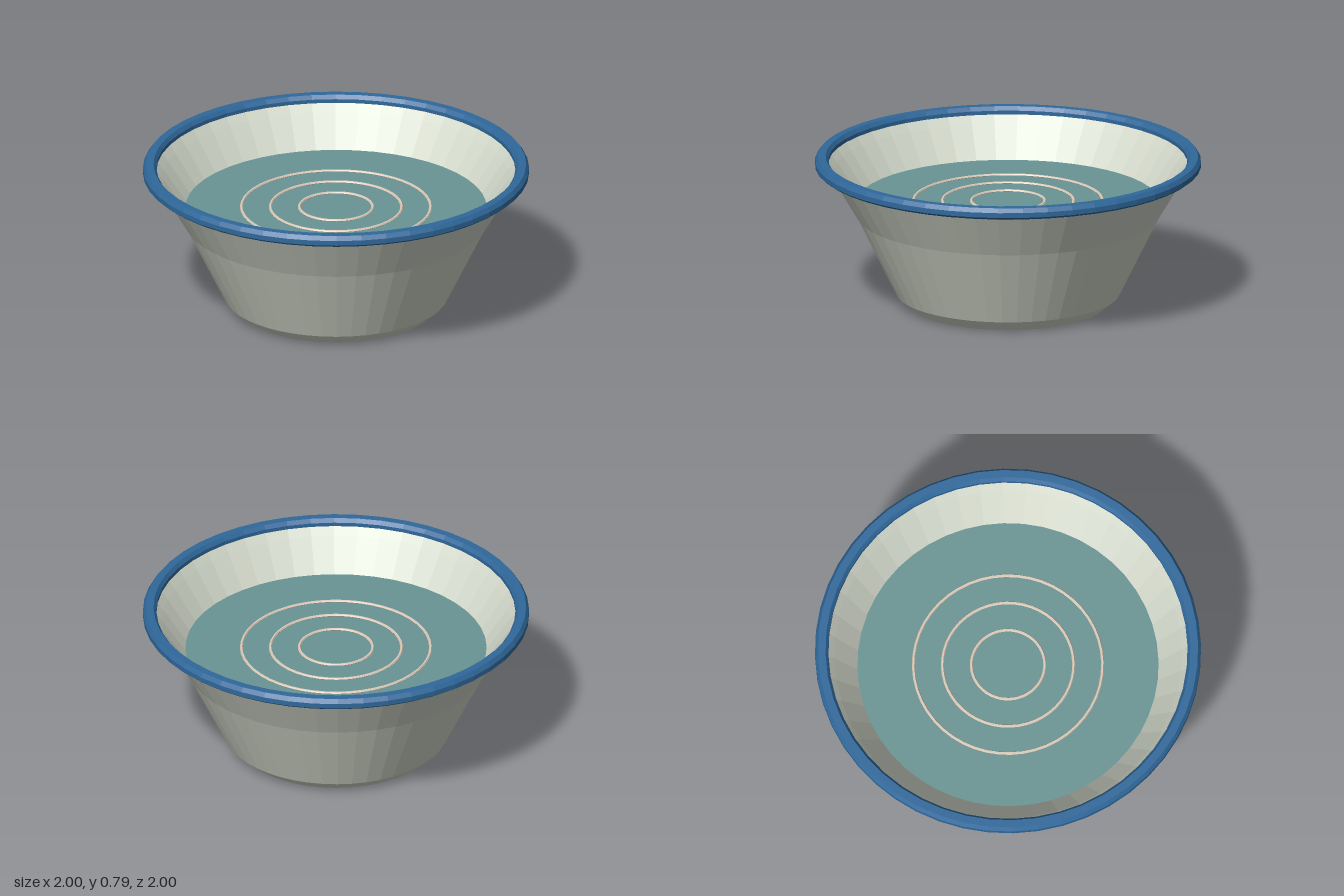
import * as THREE from 'three';

const SEGMENTS = 48;

function material(name, color) {
  const m = new THREE.MeshStandardMaterial({ color, flatShading: true, side: THREE.DoubleSide });
  m.name = name;
  return m;
}

// Turned part from [radius, height] points
function turned(name, points, mat) {
  const profile = points.map(([r, y]) => new THREE.Vector2(r, y));
  const mesh = new THREE.Mesh(new THREE.LatheGeometry(profile, SEGMENTS), mat);
  mesh.name = name;
  return mesh;
}

export function createModel() {
  const group = new THREE.Group();
  group.name = 'basin';

  const clay = material('pale clay', 0xd3d9cb);
  const blue = material('blue glaze', 0x2f689b);
  const water = material('teal water', 0x6a9495);
  const foam = material('beige ripple', 0xdccbb9);

  // Bowl wall, from the underside up the outside, over the lip and down the inside
  group.add(turned('bowl', [
    [0, 0.004], [0.055, 0.004], [0.055, 0], [0.51, 0], [0.58, 0.06], [0.785, 0.48], [0.92, 0.71],
    [0.97, 0.725], [0.97, 0.75], [0.93, 0.75], [0.885, 0.71], [0.74, 0.48], [0.54, 0.1], [0, 0.07],
  ].map(([r, y]) => (y === 0.71 && r < 0.9 ? [0.9, 0.71] : [r, y])), clay));

  // Rounded rim band
  group.add(turned('rim', [
    [0.93, 0.73], [0.96, 0.722], [0.985, 0.73], [1, 0.742], [1, 0.768], [0.985, 0.79],
    [0.945, 0.79], [0.93, 0.77], [0.93, 0.73],
  ], blue));

  // Water surface
  const surface = new THREE.Mesh(new THREE.CircleGeometry(0.78, SEGMENTS), water);
  surface.name = 'water';
  surface.rotation.x = -Math.PI / 2;
  surface.position.y = 0.548;
  group.add(surface);

  // Concentric ripples
  for (const radius of [0.19, 0.34, 0.49]) {
    const ripple = new THREE.Mesh(new THREE.TorusGeometry(radius, 0.008, 6, SEGMENTS), foam);
    ripple.name = 'ripple';
    ripple.rotation.x = -Math.PI / 2;
    ripple.position.y = 0.55;
    group.add(ripple);
  }

  return group;
}
